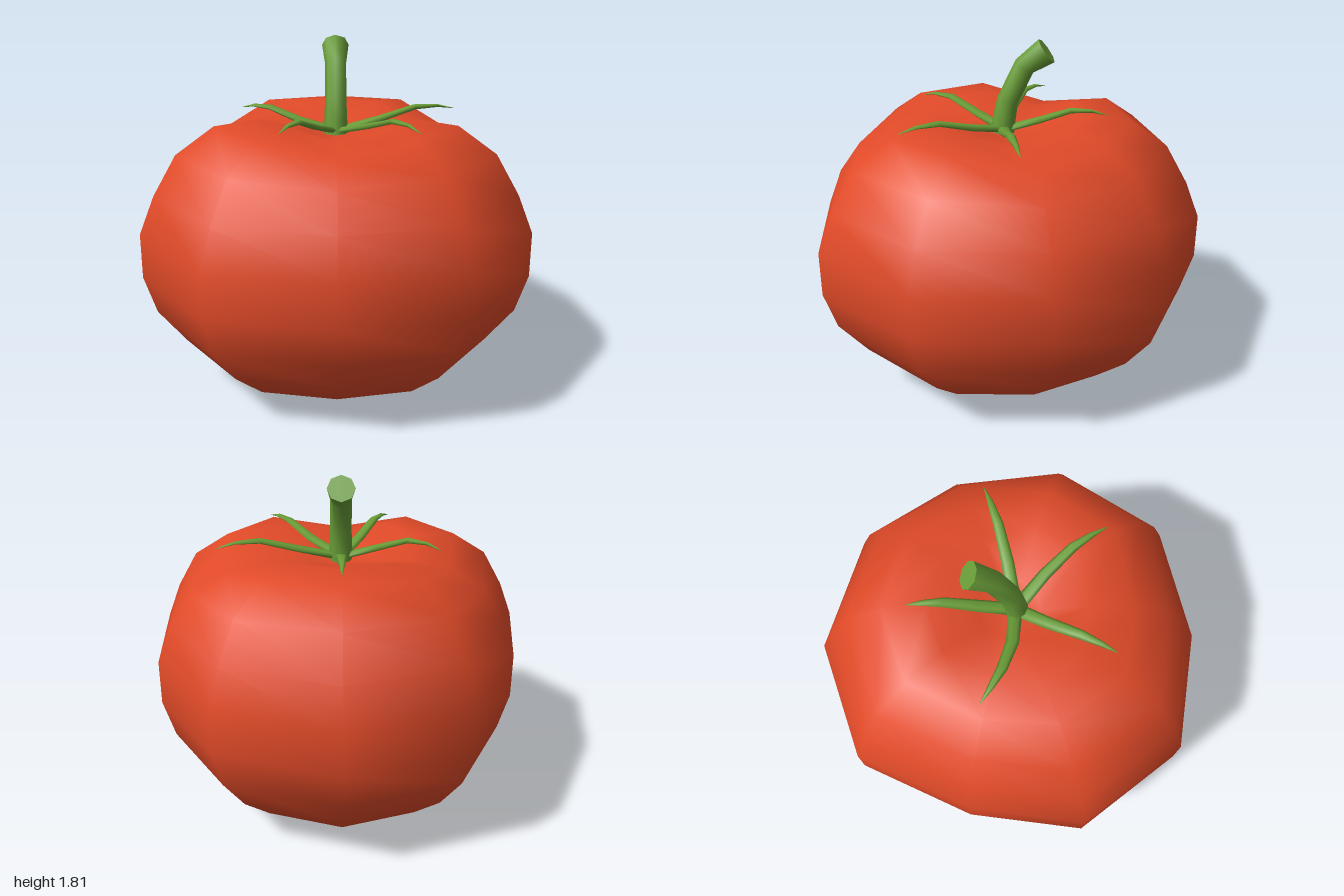
import * as THREE from 'three';
import { toCreasedNormals } from 'three/addons/utils/BufferGeometryUtils.js';

const V = (x, y, z) => new THREE.Vector3(x, y, z);

// Closed skin over rings of points, with a centre point at each end
function loft(rings, first, last) {
  const n = rings[0].length, pts = [...rings.flat(), first, last], index = [];
  const a = rings.length * n, b = a + 1, top = a - n;
  for (let i = 0; i < n; i++) {
    const j = (i + 1) % n;
    index.push(a, j, i, b, top + i, top + j);
    for (let k = 0; k < top; k += n) {
      index.push(k + i, k + j, k + n + i, k + j, k + n + j, k + n + i);
    }
  }
  const geo = new THREE.BufferGeometry().setFromPoints(pts);
  geo.setIndex(index);
  geo.computeVertexNormals();
  return geo;
}

// Elliptical section swept along a path lying square to the side vector
function sweep(path, widths, side, flat, sides) {
  const rings = path.map((p, k) => {
    const t = path[Math.min(k + 1, path.length - 1)].clone().sub(path[Math.max(k - 1, 0)]).normalize();
    const s = side.clone().addScaledVector(t, -side.dot(t)).normalize();
    const up = t.clone().cross(s);
    return Array.from({ length: sides }, (_, i) => {
      const q = i / sides * Math.PI * 2;
      return p.clone().addScaledVector(s, Math.cos(q) * widths[k])
        .addScaledVector(up, Math.sin(q) * widths[k] * flat);
    });
  });
  return loft(rings, path[0], path[path.length - 1]);
}

export function createModel() {
  const group = new THREE.Group();
  const red = new THREE.MeshStandardMaterial({ color: 0xe04a28 });
  red.name = 'tomatoRed';
  const green = new THREE.MeshStandardMaterial({ color: 0x6a9e38 });
  green.name = 'stemGreen';
  const add = (name, geo, mat, parent = group) => {
    const mesh = new THREE.Mesh(geo, mat);
    mesh.name = name;
    parent.add(mesh);
  };

  // Fruit: one irregular outline scaled up the height
  const outline = [[0, 0.99], [0.61, 0.87], [0.98, 0.35], [0.93, -0.29], [0.61, -0.8],
    [0, -1], [-0.61, -0.8], [-0.89, -0.23], [-0.98, 0.35], [-0.61, 0.87]];
  // scale, height, depth of the grooves between the shoulders
  const levels = [[0.31, 0.035, 0], [0.62, 0.1, 0], [0.8, 0.26, 0], [0.94, 0.45, 0], [1, 0.65, 0],
    [1, 0.88, 0], [0.925, 1.07, 0], [0.81, 1.27, 0.04], [0.62, 1.4, 0.08], [0.4, 1.42, 0.07], [0.16, 1.345, 0.01]];
  const grooved = [0, 3, 7];
  const rings = levels.map(([s, y, g]) => outline.map(([x, z], i) =>
    V(x * s, y - (grooved.includes(i) ? g : 0), z * s)));
  add('fruit', loft(rings, V(0, 0, 0.03), V(0, 1.31, 0.02)), red);

  // Stem: leans back and flares at the cut end
  const stemPath = [V(0, 1.31, 0.035), V(0, 1.38, 0.03), V(0, 1.49, 0.01), V(0, 1.67, -0.075), V(0, 1.75, -0.185)];
  add('stem', toCreasedNormals(sweep(stemPath, [0.06, 0.06, 0.055, 0.055, 0.07], V(1, 0, 0), 1, 8), 0.9), green);

  // Sepals: tip x, tip z, sideways bow
  const calyx = new THREE.Group();
  calyx.name = 'calyx';
  group.add(calyx);
  const tips = [[0, -0.5, 0], [0.63, -0.11, 0.02], [0.39, 0.5, -0.03], [-0.27, 0.5, 0.01], [-0.5, -0.15, -0.05]];
  const steps = [[0, 1.335, 0.035], [0.35, 1.39, 0.032], [0.65, 1.445, 0.026], [0.85, 1.445, 0.015], [1, 1.425, 0.002]];
  for (const [tx, tz, bow] of tips) {
    const dir = V(tx, 0, tz - 0.03);
    const side = V(-dir.z, 0, dir.x).normalize();
    const path = steps.map(([f, y]) => V(0, y, 0.03).addScaledVector(dir, f)
      .addScaledVector(side, bow * Math.sin(Math.PI * f)));
    add('sepal', sweep(path, steps.map((s) => s[2]), side, 0.5, 6), green, calyx);
  }
  return group;
}
